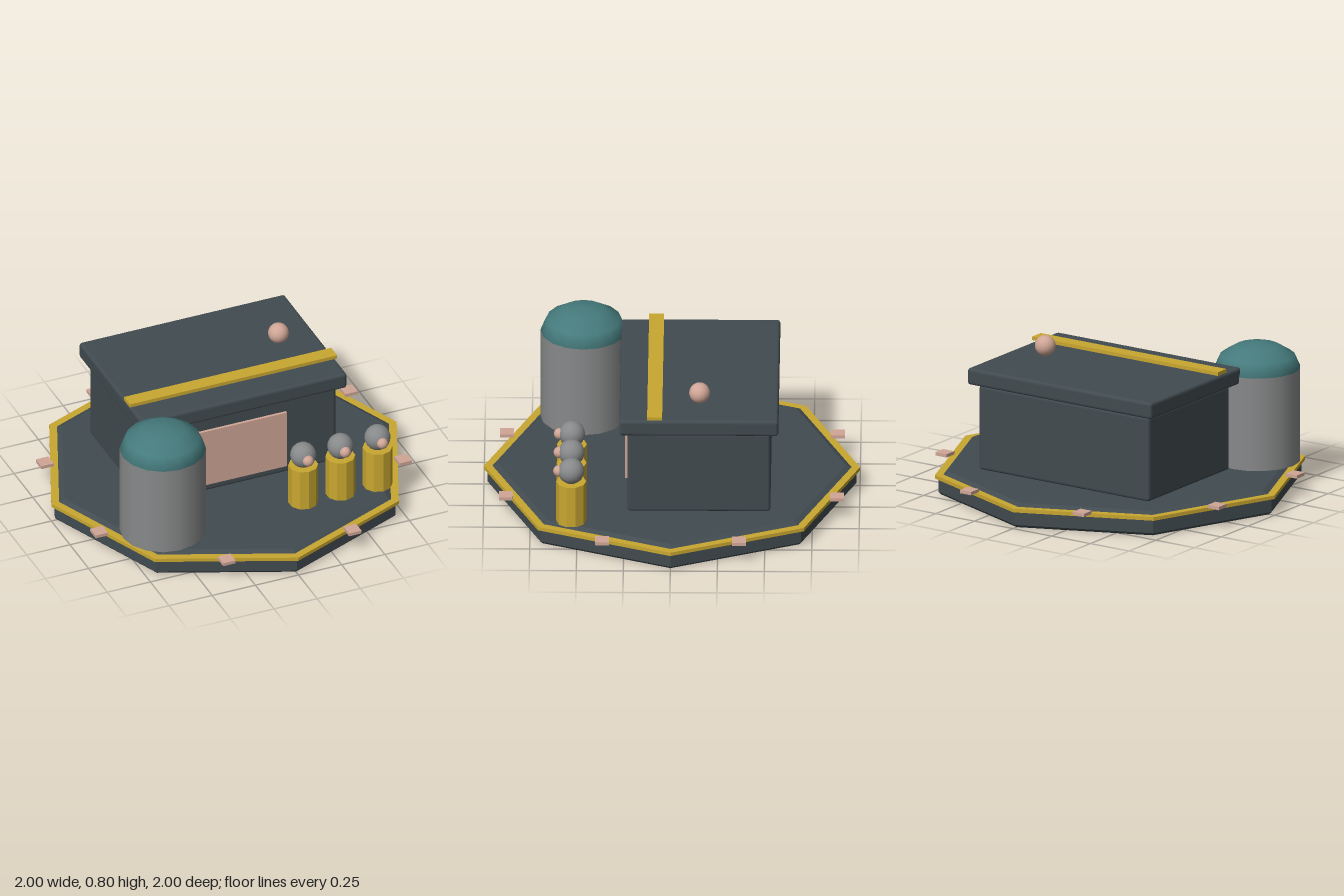
import * as THREE from 'three';
import { RoundedBoxGeometry } from 'three/addons/geometries/RoundedBoxGeometry.js';

function material(name, color, flat = false) {
  const m = new THREE.MeshStandardMaterial({ color, flatShading: flat });
  m.name = name;
  return m;
}

export function createModel() {
  const slate = material('slate', 0x414b50, true);
  const gold = material('gold', 0xc9a730, true);
  const pink = material('pink', 0xd0a696);
  const grey = material('grey', 0x88898a);
  const teal = material('teal', 0x457a7c);

  const model = new THREE.Group();
  model.name = 'outpost';

  function add(name, geometry, mat, x, y, z, parent = model) {
    const mesh = new THREE.Mesh(geometry, mat);
    mesh.name = name;
    mesh.position.set(x, y, z);
    parent.add(mesh);
    return mesh;
  }
  const octagon = (points) =>
    new THREE.LatheGeometry(points.map(([r, y]) => new THREE.Vector2(r, y)), 8);

  // Octagonal platform with bevelled edges
  add('platform', octagon([
    [0, 0], [0.965, 0], [0.98, 0.015], [0.98, 0.095], [0.955, 0.11], [0.925, 0.124], [0, 0.124],
  ]), slate, 0, 0, 0);

  // Trim ring around the platform
  add('platformTrim', octagon([
    [0.955, 0.09], [1, 0.09], [1, 0.11], [0.955, 0.11], [0.955, 0.09],
  ]), gold, 0, 0, 0);

  // Edge lights, one in the middle of each side
  const lightGeometry = new THREE.BoxGeometry(0.072, 0.018, 0.074);
  for (let i = 0; i < 8; i++) {
    const a = (i + 0.5) * Math.PI / 4;
    add('edgeLight', lightGeometry, pink, Math.sin(a) * 0.953, 0.119, Math.cos(a) * 0.953);
  }

  // Main building
  add('building', new RoundedBoxGeometry(1.1, 0.467, 0.76, 2, 0.016), slate, 0, 0.357, -0.148);
  add('roof', new RoundedBoxGeometry(1.19, 0.091, 0.846, 2, 0.016), slate, 0, 0.642, -0.148);
  add('roofStripe', new THREE.BoxGeometry(1.2, 0.02, 0.08), gold, 0, 0.704, 0.087);
  add('roofBeacon', new THREE.SphereGeometry(0.056, 16, 12), pink, 0.38, 0.748, -0.15);
  add('frontPanel', new THREE.BoxGeometry(0.515, 0.34, 0.02), pink, 0, 0.342, 0.238);

  // Storage tank with a low dome
  const tank = new THREE.Group();
  tank.name = 'storageTank';
  tank.position.set(-0.56, 0.124, 0.475);
  model.add(tank);
  add('tankWall', new THREE.CylinderGeometry(0.23, 0.23, 0.512, 16), grey, 0, 0.256, 0, tank);
  const dome = add('tankDome',
    new THREE.SphereGeometry(0.23, 16, 3, 0, Math.PI * 2, 0, Math.PI / 2), teal, 0, 0.512, 0, tank);
  dome.scale.y = 0.6;

  // Row of three attendants
  const bodyGeometry = new THREE.CylinderGeometry(0.08, 0.08, 0.236, 10);
  const headGeometry = new THREE.SphereGeometry(0.07, 16, 12);
  const noseGeometry = new THREE.SphereGeometry(0.031, 12, 8);
  for (const x of [0.23, 0.445, 0.66]) {
    const attendant = new THREE.Group();
    attendant.name = 'attendant';
    attendant.position.set(x, 0.124, 0.53);
    model.add(attendant);
    add('body', bodyGeometry, gold, 0, 0.118, 0, attendant);
    add('head', headGeometry, grey, 0, 0.298, 0, attendant);
    add('nose', noseGeometry, pink, 0, 0.298, 0.066, attendant);
  }

  return model;
}
